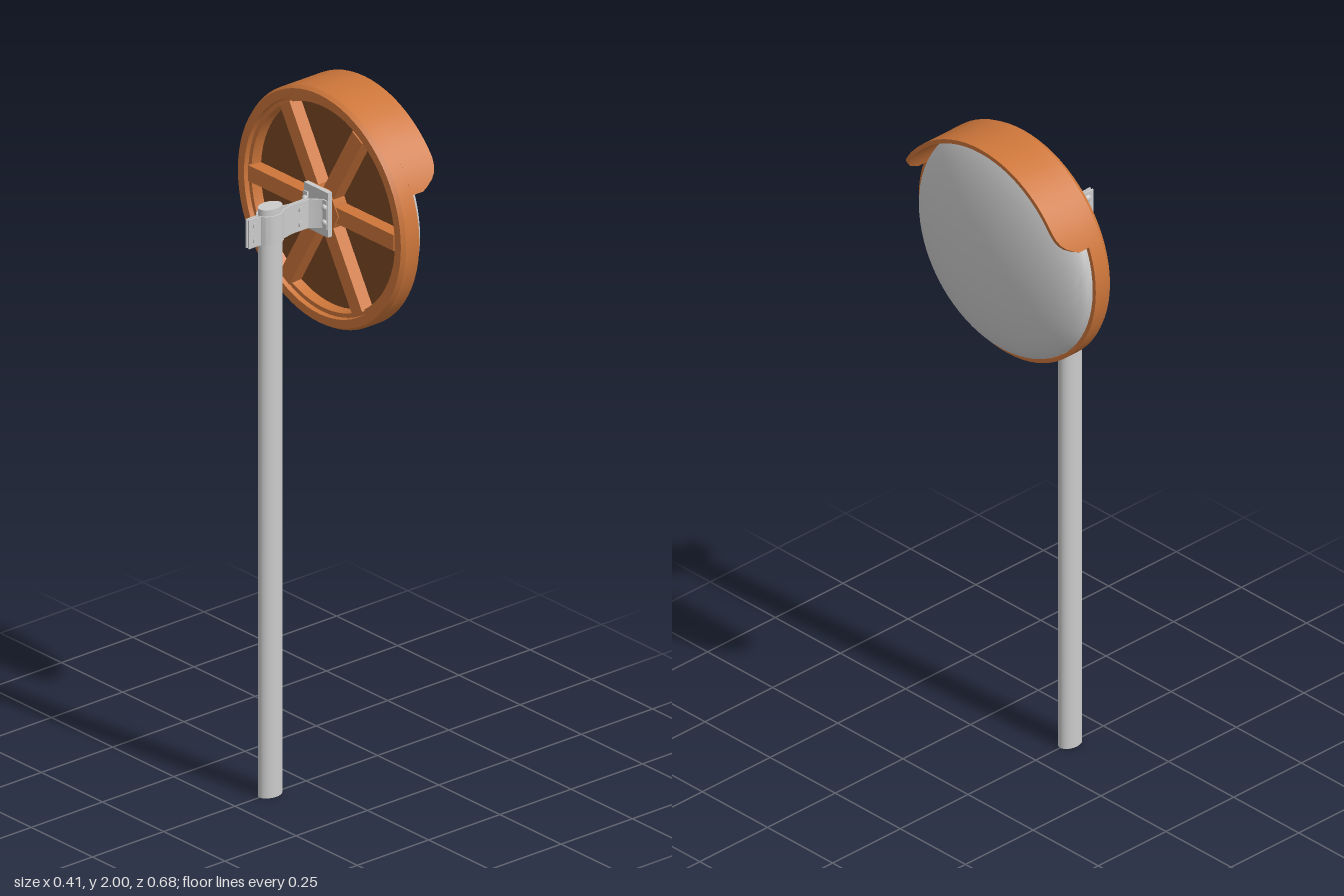
import * as THREE from 'three';
import { toCreasedNormals } from 'three/addons/utils/BufferGeometryUtils.js';

const CY = 1.66; // height of the mirror axis
const R = 0.34; // outer rim radius
const grey = new THREE.MeshStandardMaterial({ color: 0xcccccc });
const orange = new THREE.MeshStandardMaterial({ color: 0xcd763a });
const brown = new THREE.MeshStandardMaterial({ color: 0x7d4824 });

function add(parent, name, geometry, material, x = 0, y = 0, z = 0) {
  const mesh = new THREE.Mesh(geometry, material);
  mesh.name = name;
  mesh.position.set(x, y, z);
  parent.add(mesh);
  return mesh;
}

// Lathe of [radius, x] points about the x axis
function latheX(points, crease = 0.5) {
  const g = new THREE.LatheGeometry(points.map(([r, x]) => new THREE.Vector2(r, x)), 72);
  return toCreasedNormals(g.rotateZ(-Math.PI / 2), crease);
}

// Curved hood whose front edge is cut back near both ends
function visorGeometry() {
  const inner = 0.328, back = 0.1, start = 22.5;
  const edge = [[22.5, 0.14], [24, 0.158], [26.5, 0.18], [29, 0.193], [32, 0.201], [36, 0.205]];
  const half = [...edge];
  for (let a = 40; a <= 90; a += 5) half.push([a, 0.205]);
  const sections = [...half, ...half.slice(0, -1).reverse().map(([a, x]) => [180 - a, x])];
  const pos = [], idx = [];
  for (const [deg, front] of sections) {
    const a = THREE.MathUtils.degToRad(deg);
    for (const [r, x] of [[R, back], [R, front], [inner, front], [inner, back]])
      pos.push(x, r * Math.sin(a), r * Math.cos(a));
  }
  const n = sections.length;
  for (let i = 0; i < n - 1; i++)
    for (let j = 0; j < 4; j++) {
      const a = i * 4 + j, b = i * 4 + (j + 1) % 4, c = a + 4, d = b + 4;
      idx.push(a, b, c, b, d, c);
    }
  const e = (n - 1) * 4;
  idx.push(0, 2, 1, 0, 3, 2, e, e + 1, e + 2, e, e + 2, e + 3);
  const g = new THREE.BufferGeometry();
  g.setAttribute('position', new THREE.Float32BufferAttribute(pos, 3));
  g.setIndex(idx);
  return toCreasedNormals(g, 0.4);
}

// Thin metal band: an (x, z) centre line given thickness and extruded upwards
function bandGeometry(path, thickness, height) {
  const pts = path.map(([x, z]) => new THREE.Vector2(x, z));
  const side = s => pts.map((p, i) => {
    const t = pts[Math.min(i + 1, pts.length - 1)].clone().sub(pts[Math.max(i - 1, 0)]).normalize();
    return new THREE.Vector2(p.x - t.y * s, p.y + t.x * s);
  });
  const shape = new THREE.Shape([...side(thickness / 2), ...side(-thickness / 2).reverse()]);
  const g = new THREE.ExtrudeGeometry(shape, { depth: height, bevelEnabled: false });
  return toCreasedNormals(g.translate(0, 0, -height / 2).rotateX(Math.PI / 2), 0.5);
}

// Domed bolt head rising along +y
function headGeometry(r, h) {
  return new THREE.SphereGeometry(r, 16, 6, 0, Math.PI * 2, 0, Math.PI / 2).scale(1, h / r, 1);
}

export function createModel() {
  const model = new THREE.Group();
  model.name = 'roadsideMirror';

  // Oval pole
  const poleX = -0.127, prx = 0.037, prz = 0.026;
  const pole = add(model, 'pole', new THREE.CylinderGeometry(1, 1, 1.72, 40), grey, poleX, 0.86, 0);
  pole.scale.set(prx, 1, prz);

  // Mirror head, built about the x axis
  const head = new THREE.Group();
  head.name = 'mirrorHead';
  head.position.y = CY;
  model.add(head);

  add(head, 'rim', latheX([
    [0.29, 0.092], [0.294, 0.06], [0.306, 0.06], [0.308, 0.046], [0.333, 0.046],
    [R, 0.058], [R, 0.105], [0.328, 0.105], [0.328, 0.092],
  ]), orange);
  add(head, 'backPanel', latheX([[0, 0.09], [0.296, 0.09]]), brown);
  add(head, 'visor', visorGeometry(), orange);

  // Convex mirror face
  const dome = [];
  for (let i = 0; i <= 20; i++) {
    const a = (i / 20) * Math.PI / 2;
    dome.push([0.327 * Math.cos(a), 0.103 + 0.095 * Math.sin(a)]);
  }
  dome[20][0] = 0;
  add(head, 'mirrorFace', latheX([[0.327, 0.093], ...dome], 0.9), grey);

  // Six ribs and a hub on the back
  for (let i = 0; i < 6; i++) {
    const rib = add(head, 'backRib', new THREE.BoxGeometry(0.042, 0.046, 0.25).translate(0, 0, 0.172), orange, 0.072);
    rib.rotation.x = i * Math.PI / 3;
  }
  add(head, 'backHub', new THREE.CylinderGeometry(0.075, 0.075, 0.045, 6).rotateZ(Math.PI / 2), orange, 0.07);

  // Mounting plate
  add(head, 'mountPlate', new THREE.BoxGeometry(0.014, 0.13, 0.098), grey, 0.041);

  // Pair of clamp straps wrapping the pole and splaying to the plate
  const clamp = new THREE.Group();
  clamp.name = 'clamp';
  clamp.position.y = CY;
  model.add(clamp);
  for (const s of [1, -1]) {
    const path = [[-0.207, 0.005], [-0.172, 0.005]];
    for (let i = 0; i <= 14; i++) {
      const a = Math.PI * (0.93 - 0.8 * i / 14);
      path.push([poleX + (prx + 0.002) * Math.cos(a), (prz + 0.003) * Math.sin(a)]);
    }
    path.push([-0.078, 0.009], [-0.055, 0.004], [0.003, 0.004], [0.008, 0.007], [0.029, 0.027], [0.032, 0.031], [0.032, 0.048]);
    add(clamp, 'clampStrap', bandGeometry(path.map(([x, z]) => [x, s * z]), 0.004, 0.084), grey);

    // Bolts holding the strap to the plate
    for (const y of [-0.022, 0.022])
      add(clamp, 'plateBolt', headGeometry(0.009, 0.008).rotateZ(Math.PI / 2), grey, 0.03, y, s * 0.04);
  }

  // Bolts squeezing the straps together
  for (const x of [-0.186, -0.026])
    for (const y of [-0.022, 0.022]) {
      add(clamp, 'clampBoltHead', headGeometry(0.011, 0.007).rotateX(-Math.PI / 2), grey, x, y, -0.006);
      add(clamp, 'clampBolt', new THREE.CylinderGeometry(0.004, 0.004, 0.02, 12).rotateX(Math.PI / 2), grey, x, y, 0);
      add(clamp, 'clampNut', new THREE.CylinderGeometry(0.008, 0.008, 0.006, 6).rotateX(Math.PI / 2), grey, x, y, 0.009);
    }
  return model;
}
